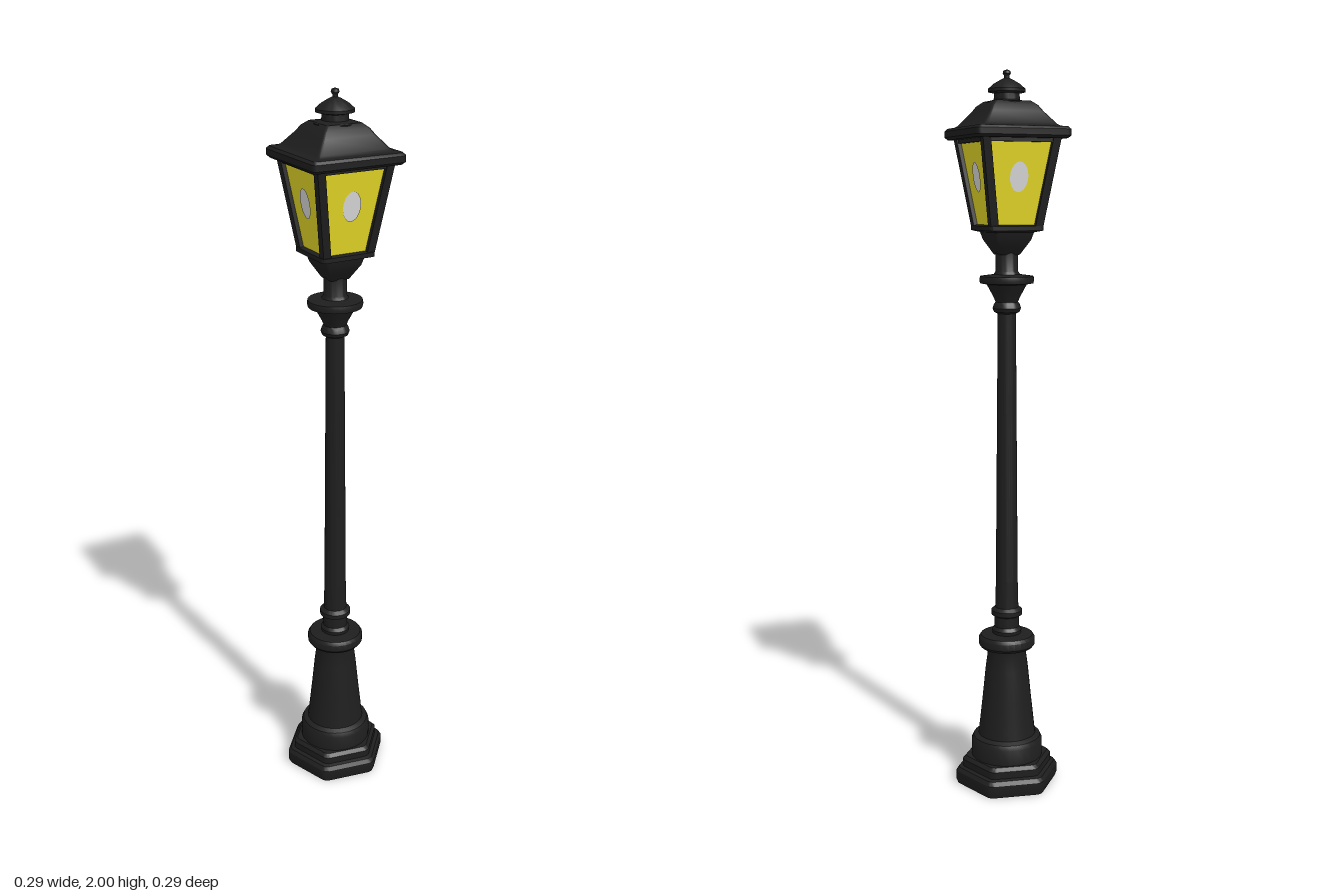
import * as THREE from 'three';
import { toCreasedNormals } from 'three/addons/utils/BufferGeometryUtils.js';

const iron = new THREE.MeshStandardMaterial({ color: 0x1e1e1e });
iron.name = 'black iron';
const glass = new THREE.MeshStandardMaterial({ color: 0xe6d926, side: THREE.DoubleSide });
glass.name = 'yellow glass';
const glow = new THREE.MeshStandardMaterial({ color: 0xdcdcdc, side: THREE.DoubleSide });
glow.name = 'pale glow';

function add(parent, name, geometry, material) {
  const mesh = new THREE.Mesh(geometry, material);
  mesh.name = name;
  parent.add(mesh);
  return mesh;
}

// Round turned part from [radius, y] pairs, bottom to top
function turned(profile) {
  const points = profile.map(([r, y]) => new THREE.Vector2(r, y));
  return toCreasedNormals(new THREE.LatheGeometry(points, 28), 0.6);
}

// Stacked polygon sections with softened corners, from [corner radius, y] pairs
function polygonLoft(sides, startAngle, rounding, profile) {
  const corner = (k) => {
    const a = startAngle + (k * Math.PI * 2) / sides;
    return new THREE.Vector2(Math.cos(a), Math.sin(a));
  };
  const ring = [];
  for (let k = 0; k < sides; k++) {
    const c = corner(k);
    const curve = new THREE.QuadraticBezierCurve(
      c.clone().lerp(corner(k - 1), rounding), c, c.clone().lerp(corner(k + 1), rounding));
    ring.push(...curve.getPoints(4));
  }
  const n = ring.length, position = [], index = [];
  profile.forEach(([r, y], i) => {
    ring.forEach((p, j) => {
      position.push(p.x * r, y, p.y * r);
      if (i === profile.length - 1) return;
      const a = i * n + j, b = i * n + ((j + 1) % n);
      index.push(a, a + n, b + n, a, b + n, b);
    });
  });
  const geometry = new THREE.BufferGeometry();
  geometry.setAttribute('position', new THREE.Float32BufferAttribute(position, 3));
  geometry.setIndex(index);
  geometry.computeVertexNormals();
  return toCreasedNormals(geometry, 0.5);
}

// Square section given by half widths
const squareLoft = (rounding, profile) =>
  polygonLoft(4, Math.PI / 4, rounding, profile.map(([h, y]) => [h * Math.SQRT2, y]));

// Square bar between two points
function bar(parent, name, from, to, width) {
  const direction = to.clone().sub(from);
  const mesh = add(parent, name, new THREE.BoxGeometry(width, direction.length(), width), iron);
  mesh.position.copy(from).add(to).multiplyScalar(0.5);
  mesh.quaternion.setFromUnitVectors(new THREE.Vector3(0, 1, 0), direction.normalize());
}

export function createModel() {
  const model = new THREE.Group();
  model.name = 'streetLamp';

  // Hexagonal stepped foot
  add(model, 'foot', polygonLoft(6, 0.1, 0.1, [
    [0.001, 0], [0.148, 0], [0.152, 0.01], [0.152, 0.036], [0.144, 0.047],
    [0.132, 0.05], [0.132, 0.07], [0.122, 0.08], [0.001, 0.08],
  ]), iron);

  // Flared pedestal with collar
  add(model, 'pedestal', turned([
    [0.102, 0.078], [0.102, 0.125], [0.096, 0.138], [0.082, 0.145], [0.08, 0.16],
    [0.069, 0.26], [0.061, 0.34], [0.055, 0.385], [0.057, 0.4], [0.074, 0.405],
    [0.08, 0.413], [0.08, 0.432], [0.074, 0.441], [0.04, 0.445],
  ]), iron);

  // Slender post with beads
  add(model, 'post', turned([
    [0.04, 0.44], [0.042, 0.455], [0.035, 0.465], [0.035, 0.495], [0.044, 0.5],
    [0.044, 0.513], [0.033, 0.522], [0.031, 0.6], [0.025, 1.355], [0.035, 1.36],
    [0.039, 1.37], [0.035, 1.382], [0.03, 1.388],
  ]), iron);

  // Capital and neck below the lantern
  add(model, 'capital', turned([
    [0.03, 1.385], [0.036, 1.4], [0.048, 1.422], [0.055, 1.435], [0.073, 1.438],
    [0.075, 1.447], [0.073, 1.457], [0.036, 1.462], [0.031, 1.47], [0.031, 1.53],
  ]), iron);

  const lantern = new THREE.Group();
  lantern.name = 'lantern';
  lantern.rotation.y = 0.085;
  model.add(lantern);

  add(lantern, 'lanternBowl', squareLoft(0.08, [
    [0.001, 1.515], [0.028, 1.515], [0.04, 1.535], [0.052, 1.555], [0.058, 1.575],
    [0.078, 1.58], [0.078, 1.592], [0.06, 1.596], [0.001, 1.596],
  ]), iron);

  // Four leaning sides
  const bottom = 0.064, top = 0.1, y0 = 1.592, y1 = 1.825;
  const tilt = Math.atan2(top - bottom, y1 - y0);
  const height = Math.hypot(top - bottom, y1 - y0);
  const pane = new THREE.ShapeGeometry(new THREE.Shape([
    new THREE.Vector2(-bottom, 0), new THREE.Vector2(bottom, 0),
    new THREE.Vector2(top, height), new THREE.Vector2(-top, height),
  ]));
  const disc = new THREE.CircleGeometry(1, 20).scale(0.026, 0.04, 1);
  for (let i = 0; i < 4; i++) {
    const side = new THREE.Group();
    side.name = 'lanternSide';
    side.rotation.y = (i * Math.PI) / 2;
    lantern.add(side);

    const panel = new THREE.Group();
    panel.name = 'glassPanel';
    panel.position.set(0, y0, bottom);
    panel.rotation.x = tilt;
    side.add(panel);
    add(panel, 'pane', pane, glass);
    add(panel, 'glowSpot', disc, glow).position.set(0, 0.13, 0.003);

    bar(side, 'cornerBar', new THREE.Vector3(bottom, y0, bottom),
      new THREE.Vector3(top, y1, top), 0.022);
    bar(side, 'topRail', new THREE.Vector3(-top, y1 - 0.008, top),
      new THREE.Vector3(top, y1 - 0.008, top), 0.014);
  }

  // Square hipped roof
  add(lantern, 'roof', squareLoft(0.05, [
    [0.001, 1.82], [0.126, 1.82], [0.133, 1.827], [0.133, 1.843], [0.127, 1.85],
    [0.112, 1.852], [0.104, 1.857], [0.076, 1.89], [0.065, 1.906], [0.05, 1.918], [0.001, 1.918],
  ]), iron);

  // Vent cap and finial
  add(lantern, 'finial', turned([
    [0.056, 1.905], [0.056, 1.916], [0.035, 1.922], [0.034, 1.938], [0.05, 1.942],
    [0.05, 1.95], [0.035, 1.963], [0.016, 1.974], [0.007, 1.978], [0.007, 1.984],
    [0.011, 1.99], [0.009, 1.997], [0.0005, 2],
  ]), iron);

  return model;
}
